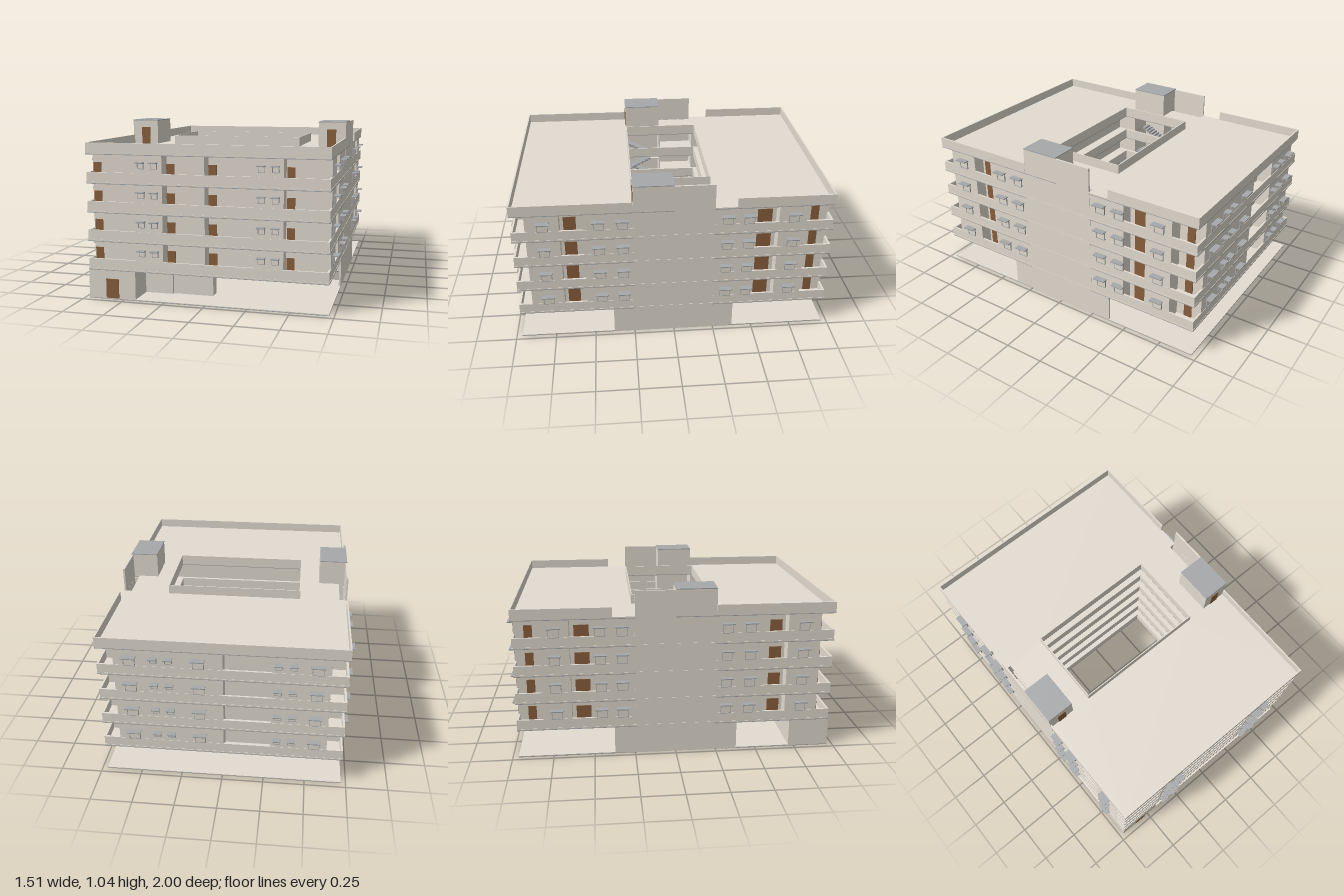
import * as THREE from 'three';

export function createModel() {
  const root = new THREE.Group();
  root.name = 'apartmentBlock';
  const material = (name, color) => {
    const m = new THREE.MeshStandardMaterial({ color });
    m.name = name;
    return m;
  };
  const stone = material('stone', 0xe3dcd1);
  const grey = material('grey', 0xa6a8aa);
  const brown = material('brown', 0x8a603c);

  const group = (name, parent = root) => {
    const g = new THREE.Group();
    g.name = name;
    parent.add(g);
    return g;
  };
  // box given by its minimum and maximum corners
  const box = (parent, name, mat, x0, x1, y0, y1, z0, z1) => {
    const m = new THREE.Mesh(new THREE.BoxGeometry(Math.abs(x1 - x0), y1 - y0, Math.abs(z1 - z0)), mat);
    m.position.set((x0 + x1) / 2, (y0 + y1) / 2, (z0 + z1) / 2);
    m.name = name;
    parent.add(m);
  };
  // floor plan of [x, z] points raised from y0 to y1
  const plan = (parent, name, mat, pts, y0, y1, hole) => {
    const v = (p) => p.map(([x, z]) => new THREE.Vector2(x, -z));
    const shape = new THREE.Shape(v(pts));
    if (hole) shape.holes.push(new THREE.Path(v(hole)));
    const geo = new THREE.ExtrudeGeometry(shape, { depth: y1 - y0, bevelEnabled: false });
    geo.rotateX(-Math.PI / 2);
    const m = new THREE.Mesh(geo, mat);
    m.position.y = y0;
    m.name = name;
    parent.add(m);
  };
  // completes a plan from its +x half
  const mirror = (half) => [...half, ...half.map(([x, z]) => [-x, z]).reverse()];

  const X = 0.72, Z = 0.965, A = 0.716, F = 0.961;
  const STEP = 0.1725, BASE = 0.175, T = 0.012;
  // hole corners run against the outer corners so the inner faces look inwards
  const court = [[-0.418, 0.24], [0.418, 0.24], [0.418, -0.245], [-0.418, -0.245]];

  // slabs: light shafts at the sides, and open stairwells below the roof
  const slabShaft = mirror([[X, -Z], [X, -0.24], [0.675, -0.24], [0.675, 0], [X, 0], [X, Z]]);
  const slabStair = mirror([[X, -Z], [X, -0.24], [0.675, -0.24], [0.675, 0], [0.545, 0],
    [0.545, 0.245], [X, 0.245], [X, Z]]);

  // stone slab with a grey underside
  const slab = (parent, name, pts, y, thick) => {
    plan(parent, name + 'Underside', grey, pts, y, y + 0.004, court);
    plan(parent, name, stone, pts, y + 0.004, y + thick, court);
  };

  // apartment plans with balcony recesses
  const frontPlan = [
    [-A, 0.245], [-0.545, 0.245], [-0.545, 0.38], [0.545, 0.38], [0.545, 0.245], [A, 0.245],
    [A, 0.54], [0.64, 0.54], [0.64, 0.68], [A, 0.68], [A, 0.88], [0.46, 0.88], [0.46, F],
    [0.29, F], [0.29, 0.88], [0.005, 0.88], [0.005, F], [-0.005, F], [-0.005, 0.88],
    [-0.25, 0.88], [-0.25, F], [-0.425, F], [-0.425, 0.88], [-A, 0.88], [-A, 0.68],
    [-0.64, 0.68], [-0.64, 0.54], [-A, 0.54]];
  const backPlan = [
    [A, -0.245], [A, -0.48], [0.64, -0.48], [0.64, -0.63], [A, -0.63], [A, -0.8], [0.62, -0.8],
    [0.62, -F], [-0.01, -F], [-0.01, -0.87], [-0.29, -0.87], [-0.29, -F], [-0.62, -F],
    [-0.62, -0.8], [-A, -0.8], [-A, -0.63], [-0.64, -0.63], [-0.64, -0.48], [-A, -0.48],
    [-A, -0.245], [-0.545, -0.245], [-0.545, -0.375], [0.545, -0.375], [0.545, -0.245]];

  // low wall around the courtyard
  const courtRing = [[-0.424, -0.251], [0.424, -0.251], [0.424, 0.246], [-0.424, 0.246]];
  const courtWall = (parent, y0, y1) => plan(parent, 'courtyardParapet', stone, courtRing, y0, y1, court);

  // window with jambs and an awning; local +z points outwards
  const windowUnit = (parent, w, h, top, x, z, turn) => {
    const g = group('window', parent);
    g.position.set(x, top, z);
    g.rotation.y = turn;
    const half = w * 0.39;
    box(g, 'awning', grey, -w / 2, w / 2, -0.003, 0.003, 0, 0.037);
    box(g, 'pane', stone, -half, half, -h, 0, 0, 0.004);
    for (const s of [-1, 1]) box(g, 'jamb', grey, s * half - 0.0015, s * half + 0.0015, -h, 0, 0, 0.007);
    box(g, 'sill', grey, -half, half, -h - 0.0015, -h + 0.0015, 0, 0.007);
  };

  // switchback flights for one storey
  const stairs = (parent, s, y0, rise) => {
    const g = group('stairs', parent);
    const n = 8, r = rise / (2 * n), run = 0.165 / n;
    for (let i = 0; i < n; i++) {
      const za = 0.23 - i * run, ya = y0 + i * r;
      box(g, 'lowerStep', grey, s * 0.55, s * 0.625, ya, ya + r, za - run - 0.004, za);
      const zb = 0.065 + i * run, yb = y0 + rise / 2 + i * r;
      box(g, 'upperStep', grey, s * 0.635, s * 0.708, yb, yb + r, zb, zb + run + 0.004);
    }
    box(g, 'landing', stone, s * 0.55, s * 0.708, y0 + rise / 2 - 0.008, y0 + rise / 2, 0, 0.065);
  };

  // ground floor: mostly open, with an entrance room and two stair walls
  const ground = group('groundFloor');
  slab(ground, 'groundSlab', slabStair, 0, 0.008);
  courtWall(ground, 0.008, 0.07);
  plan(ground, 'entranceRoom', stone, [[-X, 0.715], [0, 0.715], [0, 0.785], [-0.25, 0.785], [-0.25, 0.8],
    [-0.425, 0.8], [-0.425, Z], [-X, Z]], 0.008, BASE);
  box(ground, 'entranceDoor', brown, -0.61, -0.53, 0.008, 0.125, Z, Z + 0.003);
  for (const s of [-1, 1]) {
    box(ground, 'stairSideWall', stone, s * 0.708, s * X, 0, BASE, -0.375, 0.38);
    box(ground, 'stairBackWall', stone, s * 0.545, s * 0.708, 0, BASE, -0.008, 0);
    stairs(ground, s, 0.008, BASE + T - 0.008);
  }

  // four identical storeys
  for (let i = 0; i < 4; i++) {
    const storey = group('storey' + (i + 1));
    const y = BASE + i * STEP, f = y + T, top = y + STEP;
    slab(storey, 'floorSlab', slabStair, y, T);
    plan(storey, 'frontApartments', stone, frontPlan, f, top);
    plan(storey, 'backApartments', stone, backPlan, f, top);
    courtWall(storey, f, f + 0.057);

    // balcony parapets
    const p = f + 0.057, o = 0.718, q = 0.963;
    box(storey, 'frontParapet', stone, -o, o, f, p, q - 0.012, q);
    box(storey, 'backParapet', stone, -o, o, f, p, -q, -q + 0.012);
    for (const s of [-1, 1]) {
      for (const d of [-1, 1]) box(storey, 'sideParapet', stone, s * (o - 0.012), s * o, f, p, d * 0.245, d * q);
      box(storey, 'shaftParapet', stone, s * 0.663, s * 0.675, f, p, -0.24, 0);

      // outer stair and shaft wall with its floor band
      box(storey, 'stairOuterWall', stone, s * 0.708, s * o, f, top, -0.245, 0.245);
      box(storey, 'floorBand', stone, s * 0.708, s * X, y, f, -0.24, 0.245);
      box(storey, 'stairBackWall', stone, s * 0.545, s * 0.708, y, top, -0.008, 0);

      // side doors and windows
      for (const [x, a, b] of [[0.64, 0.585, 0.66], [0.64, -0.605, -0.515], [0.62, -0.9, -0.85]])
        box(storey, 'sideDoor', brown, s * x, s * (x + 0.004), f, f + 0.108, a, b);
      for (const z of [-0.72, -0.45, -0.32, 0.31, 0.45, 0.777])
        windowUnit(storey, 0.078, 0.06, f + 0.116, s * A, z, s * Math.PI / 2);
      if (i < 3) stairs(storey, s, f, STEP);
    }

    // front doors, balcony windows and awnings
    for (const [a, b] of [[-0.71, -0.66], [-0.25, -0.2], [0.005, 0.055], [0.465, 0.51]])
      box(storey, 'balconyDoor', brown, a, b, f, f + 0.108, 0.88, 0.884);
    for (const [a, b] of [[-0.47, -0.428], [0.245, 0.287]])
      box(storey, 'balconyWindow', stone, a, b, f + 0.05, f + 0.108, 0.88, 0.884);
    for (const x of [-0.378, -0.297, 0.335, 0.415]) windowUnit(storey, 0.047, 0.036, f + 0.12, x, F, 0);

    // back windows
    for (const [x, w] of [[-0.545, 0.08], [-0.41, 0.05], [-0.325, 0.05], [0.13, 0.08],
      [0.3, 0.05], [0.387, 0.047], [0.527, 0.083]])
      windowUnit(storey, w, w > 0.06 ? 0.06 : 0.036, f + 0.118, x, -F, Math.PI);

    // doors on the courtyard gallery
    for (const x of [-0.17, 0.3])
      box(storey, 'galleryDoor', brown, x - 0.025, x + 0.025, f, f + 0.115, -0.375, -0.371);
  }

  // roof deck, parapets and stair towers
  const roof = group('roof');
  const yr = BASE + 4 * STEP, deck = yr + T, rim = 0.935, t = 0.009;
  slab(roof, 'roofSlab', slabShaft, yr, T);
  courtWall(roof, deck, rim);
  box(roof, 'frontRoofParapet', stone, -X, X, deck, rim, Z - t, Z);
  box(roof, 'backRoofParapet', stone, -X, X, deck, rim, -Z, -Z + t);
  for (const s of [-1, 1]) {
    box(roof, 'sideRoofParapet', stone, s * (X - t), s * X, deck, rim, 0.245, Z);
    box(roof, 'sideRoofParapet', stone, s * (X - t), s * X, deck, rim, -Z, -0.375);
    box(roof, 'shaftWall', stone, s * 0.709, s * X, yr, 1.03, -0.242, 0);
    box(roof, 'stairTower', stone, s * 0.546, s * X, deck, 1.032, 0, 0.244);
    box(roof, 'towerRoof', grey, s * 0.545, s * X, 1.032, 1.037, 0, 0.245);
    box(roof, 'towerDoor', brown, s * 0.6, s * 0.658, deck, 0.987, 0.244, 0.248);
  }
  return root;
}
